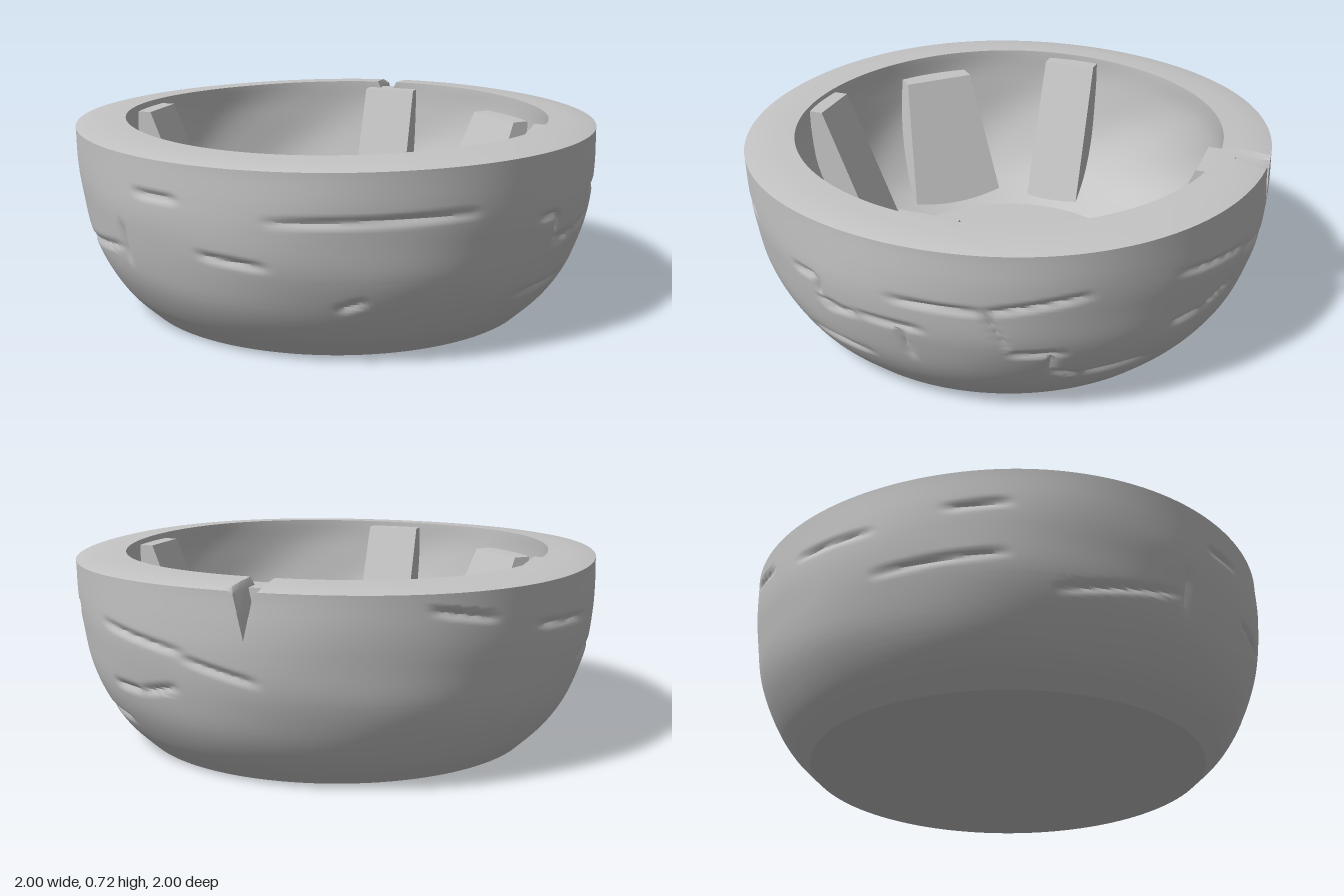
import * as THREE from 'three';
import { toCreasedNormals } from 'three/addons/utils/BufferGeometryUtils.js';

const V = (x, y) => new THREE.Vector2(x, y);
const SEGMENTS = 360;

// Cracks, grouped by the direction they face (angle about y, 0 = front).
// Each one: sideways start, y start, sideways end, y end.
const CRACKS = [
  [0, [
    [-0.63, 0.525, 0.0, 0.54], [-0.92, 0.57, -0.84, 0.57],
    [-0.8, 0.39, -0.64, 0.37], [0.29, 0.47, 0.4, 0.475], [0.4, 0.475, 0.4, 0.4],
    [0.41, 0.36, 0.54, 0.38], [0.55, 0.385, 0.73, 0.38], [0.67, 0.37, 0.65, 0.24],
    [-0.41, 0.22, -0.36, 0.25], [-0.95, 0.44, -0.95, 0.3], [0.25, 0.19, 0.52, 0.2],
  ]],
  [Math.PI / 2, [
    [-0.73, 0.49, -0.48, 0.48], [-0.48, 0.48, -0.16, 0.53], [-0.48, 0.48, -0.41, 0.32],
    [-0.41, 0.3, -0.23, 0.29], [-0.27, 0.29, -0.25, 0.2], [-0.25, 0.2, -0.15, 0.16],
    [-0.15, 0.16, 0.15, 0.16], [0.18, 0.53, 0.54, 0.48], [0.54, 0.46, 0.74, 0.4],
    [0.18, 0.31, 0.34, 0.31], [0.34, 0.31, 0.5, 0.35], [-0.9, 0.38, -0.85, 0.38],
  ]],
  [3.77, [
    [-0.68, 0.64, -0.5, 0.6], [-0.32, 0.55, 0.02, 0.53], [0.02, 0.37, 0.47, 0.39],
    [0.28, 0.56, 0.48, 0.57], [0.62, 0.28, 0.9, 0.35],
  ]],
];

const cracks = CRACKS.flatMap(([facing, list]) => list.map(([s0, y0, s1, y1]) => {
  const phi = (s, y) => facing + Math.asin(THREE.MathUtils.clamp(s / (y < 0.25 ? 0.92 : 0.98), -1, 1));
  return { a: phi(s0, y0), y0, b: phi(s1, y1), y1 };
}));

const wrap = (a) => Math.atan2(Math.sin(a), Math.cos(a));

// Depth of the grooves at a point of the outer wall, fading towards their ends
function grooveDepth(phi, y) {
  let depth = 0;
  for (const c of cracks) {
    const px = wrap(phi - c.a), py = y - c.y0;
    const dx = wrap(c.b - c.a), dy = c.y1 - c.y0;
    const t = THREE.MathUtils.clamp((px * dx + py * dy) / (dx * dx + dy * dy), 0, 1);
    const d = Math.hypot(px - t * dx, py - t * dy);
    depth = Math.max(depth, 0.014 * (1 - d / 0.022) * (1 - 0.7 * (2 * t - 1) ** 4));
  }
  return depth;
}

function bowlShell() {
  const outer = new THREE.SplineCurve([
    V(0.75, 0), V(0.84, 0.09), V(0.91, 0.2), V(0.955, 0.32), V(0.98, 0.45), V(0.993, 0.58), V(0.998, 0.695),
  ]).getPoints(80);
  const rim = [V(0.95, 0.704), V(0.88, 0.71), V(0.81, 0.713)];
  const inner = new THREE.SplineCurve([
    V(0.81, 0.705), V(0.81, 0.6), V(0.785, 0.45), V(0.73, 0.31), V(0.64, 0.2), V(0.49, 0.12),
  ]).getPoints(18);
  const geometry = new THREE.LatheGeometry([...outer, ...rim, ...inner], SEGMENTS);
  const p = geometry.attributes.position;
  const rows = outer.length + rim.length + inner.length;
  const notch = 137 * Math.PI * 2 / SEGMENTS, notchHalf = 0.042;

  for (let i = 0; i < p.count; i++) {
    const row = i % rows;
    const phi = (Math.floor(i / rows) % SEGMENTS) * Math.PI * 2 / SEGMENTS;
    let r = Math.hypot(p.getX(i), p.getZ(i)), y = p.getY(i);
    // gently hand-worked surface, flat at base and floor, worn in at the diagonals of the rim
    if (row < outer.length) {
      const swell = Math.sin(Math.PI * Math.min(y / 0.7, 1));
      r += 0.003 * swell * Math.sin(phi * 7 + y * 9) * Math.sin(phi * 3 - y * 14) - grooveDepth(phi, y);
      r -= 0.012 * THREE.MathUtils.smoothstep(y, 0.5, 0.7) * Math.sin(2 * phi) ** 2;
    } else if (row >= outer.length + rim.length) {
      r += 0.004 * Math.sin(Math.PI * THREE.MathUtils.clamp((y - 0.12) / 0.59, 0, 1)) * Math.sin(phi * 9 + y * 16);
    }
    y += 0.004 * THREE.MathUtils.smoothstep(y, 0.5, 0.7) * Math.sin(phi * 3 + 1);
    // wedge split through the rim
    const off = Math.abs(wrap(phi - notch));
    if (off < notchHalf && r > 0.76) y = Math.min(y, 0.54 + 0.18 * off / notchHalf);
    p.setXYZ(i, r * Math.sin(phi), y, r * Math.cos(phi));
  }
  return toCreasedNormals(geometry, 0.65);
}

// Sloping rib running from the rim to the floor, pointing along +x
function ribGeometry(topRadius, topY, bottomHalf, topHalf) {
  const profile = new THREE.Shape([
    V(0.515, 0.11), V(0.8, 0.11), V(0.86, 0.3), V(0.86, topY), V(topRadius, topY),
  ]);
  const geometry = new THREE.ExtrudeGeometry(profile, { depth: 2, bevelEnabled: false });
  const p = geometry.attributes.position;
  for (let i = 0; i < p.count; i++) {
    const half = THREE.MathUtils.mapLinear(p.getY(i), 0.11, topY, bottomHalf, topHalf);
    p.setZ(i, (p.getZ(i) - 1) * half);
  }
  geometry.computeVertexNormals();
  return geometry;
}

export function createModel() {
  const model = new THREE.Group();
  model.name = 'crackedBowl';
  const stone = new THREE.MeshStandardMaterial({ color: 0xc4c4c4 });
  stone.name = 'grey stone';

  const add = (name, geometry) => {
    const mesh = new THREE.Mesh(geometry, stone);
    mesh.name = name;
    model.add(mesh);
    return mesh;
  };

  add('bowlShell', bowlShell());

  // Flat disc closing the base, and the inner floor
  add('base', new THREE.CircleGeometry(0.75, SEGMENTS)).rotation.x = Math.PI / 2;
  const floor = add('floor', new THREE.CircleGeometry(0.49, SEGMENTS));
  floor.rotation.x = -Math.PI / 2;
  floor.position.y = 0.12;

  // Two wide side ribs, lower than the rim, and four narrower diagonal ones
  const wide = ribGeometry(0.73, 0.635, 0.2, 0.145);
  const narrow = ribGeometry(0.75, 0.69, 0.113, 0.108);
  for (const angle of [0, 180]) add('sideRib', wide).rotation.y = THREE.MathUtils.degToRad(angle);
  for (const angle of [45, 135, 225, 315]) add('diagonalRib', narrow).rotation.y = THREE.MathUtils.degToRad(angle);

  return model;
}
